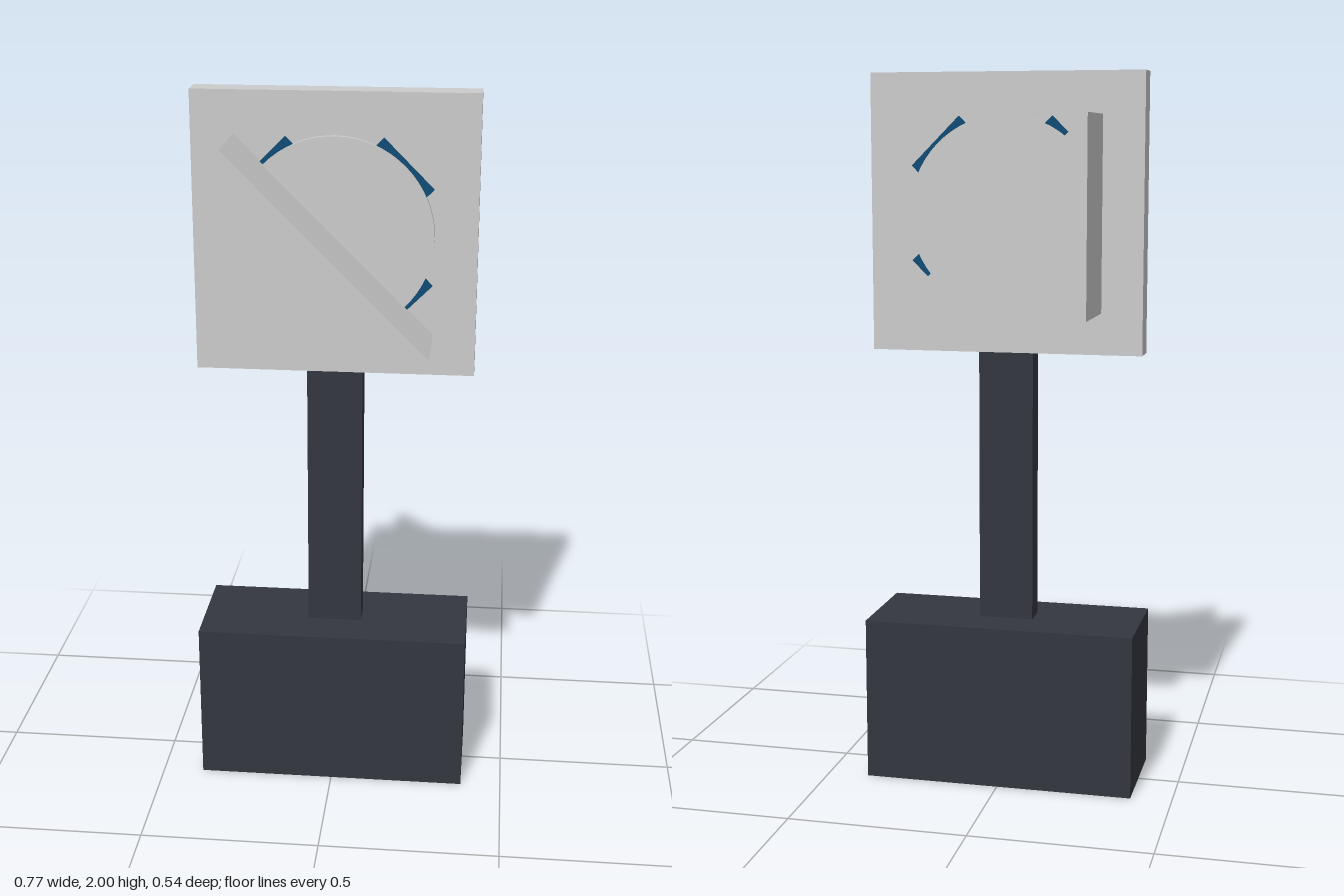
import * as THREE from 'three';

const grey = new THREE.MeshStandardMaterial({ color: 0xcccccc });
const dark = new THREE.MeshStandardMaterial({ color: 0x33373f });
const blue = new THREE.MeshStandardMaterial({ color: 0x0f4c75 });

const HEAD_Y = 1.616; // centre of the sign head

export function createModel() {
  const model = new THREE.Group();
  model.name = 'signalPost';

  const add = (name, geometry, material, y) => {
    const mesh = new THREE.Mesh(geometry, material);
    mesh.name = name;
    mesh.position.y = y;
    model.add(mesh);
    return mesh;
  };
  const box = (name, w, h, d, material, y) =>
    add(name, new THREE.BoxGeometry(w, h, d), material, y);

  // Base, post and square head plate
  box('base', 0.768, 0.465, 0.306, dark, 0.2325);
  box('post', 0.154, 0.767, 0.07, dark, 0.8485);
  box('headPlate', 0.768, 0.768, 0.076, grey, HEAD_Y);

  // Round disc passing through the plate
  const disc = new THREE.CylinderGeometry(0.269, 0.269, 0.106, 64);
  disc.rotateX(Math.PI / 2);
  add('disc', disc, grey, HEAD_Y);

  // Diagonal cross whose ends peep out around the disc
  for (const side of [1, -1]) {
    const bar = box('crossBar', 0.56, 0.19, 0.092, blue, HEAD_Y);
    bar.rotation.z = side * Math.PI / 4;
  }

  // Triangular wedge covering the lower right half, front and back
  const r = 0.269;
  const triangle = new THREE.Shape([
    new THREE.Vector2(-r, -r),
    new THREE.Vector2(r, -r),
    new THREE.Vector2(-r, r),
  ]);
  const wedge = new THREE.ExtrudeGeometry(triangle, { depth: 2 * r, bevelEnabled: false });
  wedge.translate(0, 0, -r);
  add('wedge', wedge, grey, HEAD_Y);

  return model;
}
